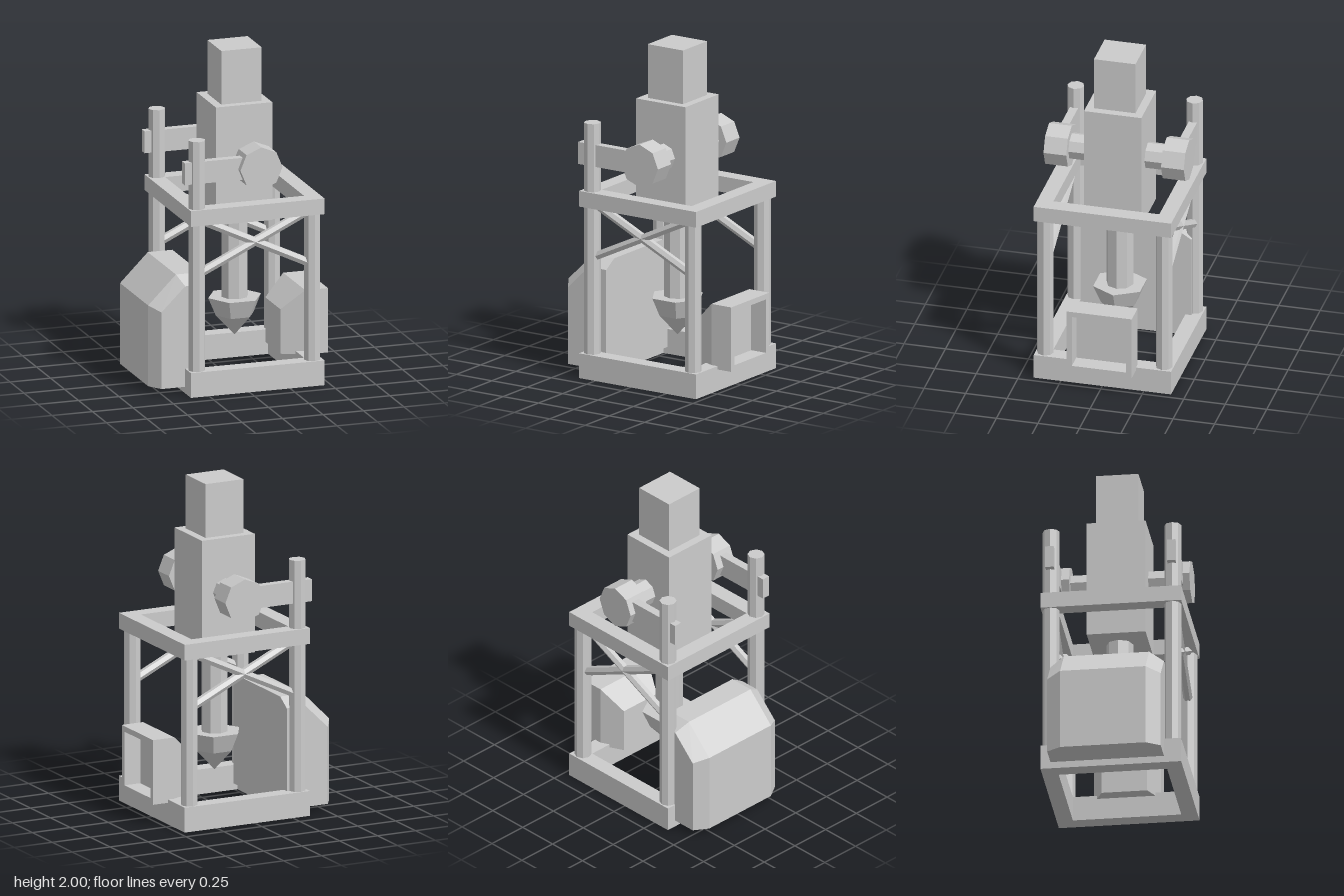
import * as THREE from 'three';
import { ConvexGeometry } from 'three/addons/geometries/ConvexGeometry.js';

const material = new THREE.MeshStandardMaterial({ color: 0xcccccc, flatShading: true });
const CX = 0.05; // frame and drill axis

export function createModel() {
  const model = new THREE.Group();
  model.name = 'drillRig';

  const add = (name, geometry, x = 0, y = 0, z = 0) => {
    const mesh = new THREE.Mesh(geometry, material);
    mesh.name = name;
    mesh.position.set(x, y, z);
    model.add(mesh);
    return mesh;
  };
  // Box given by its minimum and maximum corners
  const box = (name, [x0, y0, z0], [x1, y1, z1]) =>
    add(name, new THREE.BoxGeometry(x1 - x0, y1 - y0, z1 - z0), (x0 + x1) / 2, (y0 + y1) / 2, (z0 + z1) / 2);
  // Rectangular ring extruded along +z
  const ring = (w, h, rim, depth) => {
    const rect = (type, a, b) => new type([
      new THREE.Vector2(-a, -b), new THREE.Vector2(a, -b), new THREE.Vector2(a, b), new THREE.Vector2(-a, b)]);
    const shape = rect(THREE.Shape, w / 2, h / 2);
    shape.holes.push(rect(THREE.Path, w / 2 - rim, h / 2 - rim));
    return new THREE.ExtrudeGeometry(shape, { depth, bevelEnabled: false });
  };
  const post = (name, r, y0, y1, x, z) =>
    add(name, new THREE.CylinderGeometry(r, r, y1 - y0, 8), x, (y0 + y1) / 2, z);
  // Round bar between two points
  const bar = (name, a, b, r) => {
    const dir = b.clone().sub(a);
    const mesh = add(name, new THREE.CylinderGeometry(r, r, dir.length(), 6));
    mesh.position.copy(a).add(b).multiplyScalar(0.5);
    mesh.quaternion.setFromUnitVectors(new THREE.Vector3(0, 1, 0), dir.normalize());
  };

  // Base and upper frame
  add('baseFrame', ring(0.826, 0.828, 0.095, 0.15).rotateX(-Math.PI / 2), CX, 0, 0);
  add('upperFrame', ring(0.826, 0.828, 0.095, 0.095).rotateX(-Math.PI / 2), CX, 1.038, 0);

  // Motor body on the drill axis
  box('motorBody', [-0.125, 0.96, -0.173], [0.223, 1.675, 0.173]);
  box('motorCap', [-0.075, 1.675, -0.125], [0.174, 2, 0.125]);

  // Drill shaft and faceted bit
  post('drillShaft', 0.08, 0.44, 1, CX, 0);
  const profile = [[0, 0.235], [0.116, 0.36], [0.163, 0.47], [0, 0.47]].map(([r, y]) => new THREE.Vector2(r, y));
  add('drillBit', new THREE.LatheGeometry(profile, 6).rotateY(Math.PI / 2), CX, 0, 0);

  // Posts, braces, trunnions and arms on both sides
  for (const s of [1, -1]) {
    const z = s * 0.358;
    post('tallPost', 0.05, 0.1, 1.545, -0.307, z);
    post('shortPost', 0.05, 0.1, 1.06, 0.405, z);
    for (const m of [1, -1]) {
      bar('crossBrace', new THREE.Vector3(CX - m * 0.34, 0.735, z), new THREE.Vector3(CX + m * 0.34, 1.06, z), 0.027);
    }
    add('trunnionShaft', new THREE.CylinderGeometry(0.08, 0.08, 0.16, 8).rotateX(Math.PI / 2), 0.07, 1.352, s * 0.23);
    add('trunnionHub', new THREE.CylinderGeometry(0.13, 0.13, 0.137, 8).rotateX(Math.PI / 2), 0.07, 1.352, s * 0.354);
    box('supportArm', [-0.39, 1.285, z - 0.025], [0, 1.418, z + 0.025]);
  }

  // Chamfered side tank: cross-sections along z
  const tank = [];
  for (const [z, xo, yo, xt, yt] of [
    [-0.355, -0.51, 0.505, -0.363, 0.65], [-0.272, -0.563, 0.53, -0.392, 0.702],
    [0.23, -0.563, 0.53, -0.392, 0.702], [0.313, -0.51, 0.505, -0.363, 0.65]]) {
    for (const [x, y] of [[-0.24, 0.04], [xo, 0.04], [xo, yo], [xt, yt], [-0.24, yt]]) {
      tank.push(new THREE.Vector3(x, y, z));
    }
  }
  add('sideTank', new ConvexGeometry(tank));

  // Control box: tapered housing with a recessed outer face
  const housing = [];
  for (const [x, y1, z] of [[0.288, 0.4, 0.134], [0.42, 0.52, 0.197], [0.455, 0.52, 0.197]]) {
    for (const s of [1, -1]) housing.push(new THREE.Vector3(x, 0.13, s * z), new THREE.Vector3(x, y1, s * z));
  }
  add('controlHousing', new ConvexGeometry(housing), 0, 0, -0.005);
  add('controlRim', ring(0.394, 0.39, 0.033, 0.105).rotateY(Math.PI / 2), 0.455, 0.325, -0.005);

  return model;
}
